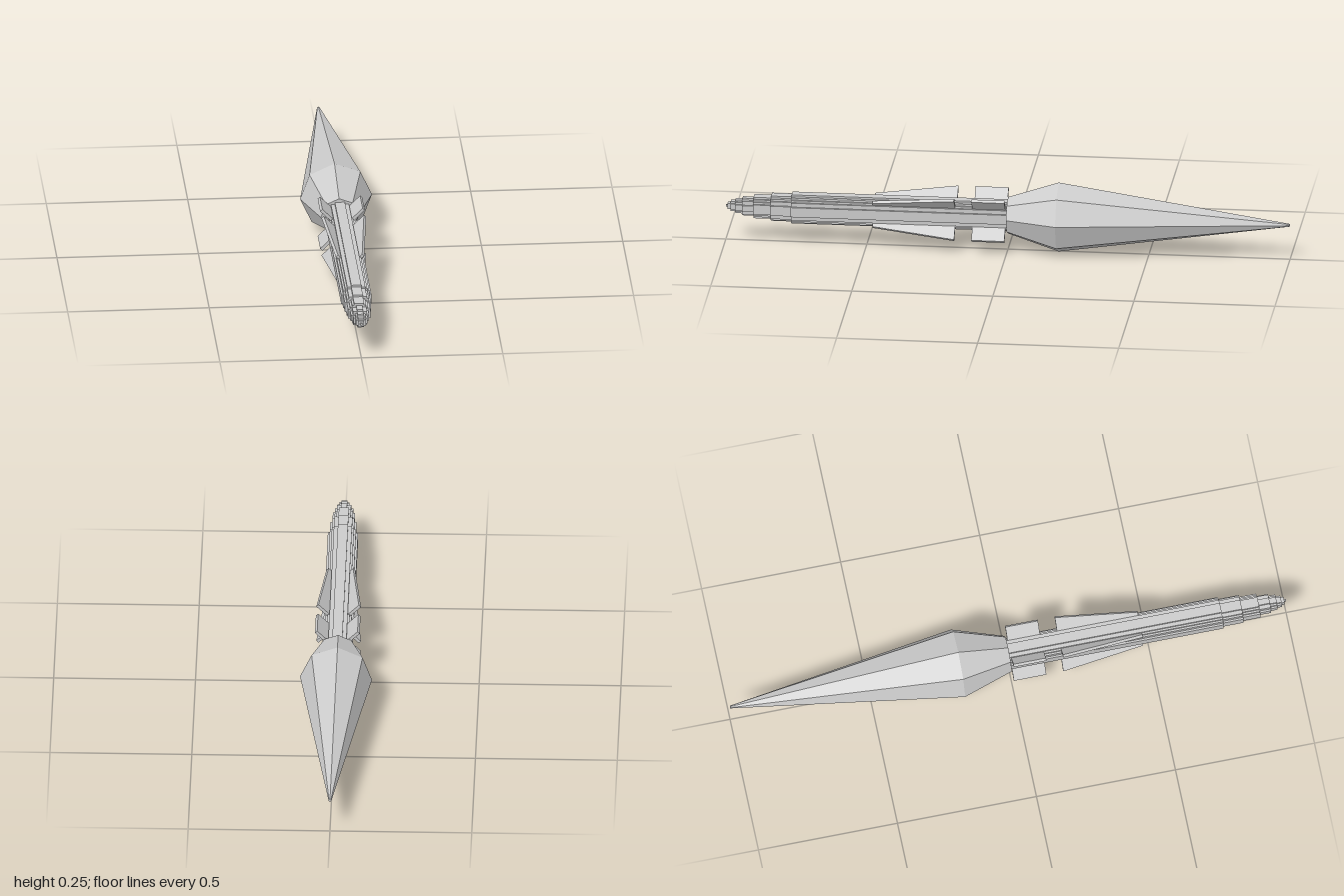
import * as THREE from 'three';

const AXIS_Y = 0.128; // height of the long axis
const CELL = 0.0071;  // step size of the blocky body

const material = new THREE.MeshStandardMaterial({ color: 0xcccccc, flatShading: true });

function addMesh(parent, name, geometry) {
  const mesh = new THREE.Mesh(geometry, material);
  mesh.name = name;
  parent.add(mesh);
  return mesh;
}

// Stair-stepped disc outline, n cells out from the centre cell
function steppedDisc(n) {
  const right = [];
  const r2 = (n + 0.45) ** 2;
  for (let j = -n; j <= n; j++) {
    const w = (Math.floor(Math.sqrt(r2 - j * j)) + 0.5) * CELL;
    const last = right[right.length - 1];
    if (last && last.x === w) last.y = (j + 0.5) * CELL;
    else right.push(new THREE.Vector2(w, (j - 0.5) * CELL), new THREE.Vector2(w, (j + 0.5) * CELL));
  }
  const left = right.map(p => new THREE.Vector2(-p.x, p.y)).reverse();
  return new THREE.Shape([...right, ...left]);
}

// Thin plate from a [z, radius] outline, standing radially on the axis
function finGeometry(outline, thickness) {
  const shape = new THREE.Shape(outline.map(([z, r]) => new THREE.Vector2(z, r)));
  const geometry = new THREE.ExtrudeGeometry(shape, { depth: thickness, bevelEnabled: false });
  geometry.translate(0, 0, -thickness / 2);
  return geometry.rotateY(-Math.PI / 2);
}

export function createModel() {
  const model = new THREE.Group();
  model.name = 'rocket';
  const rocket = new THREE.Group();
  rocket.name = 'rocketAxis';
  rocket.position.y = AXIS_Y;
  model.add(rocket);

  // Body and stepped nose: discs shrinking one cell at a time
  const ends = [0.765, 0.838, 0.9, 0.94, 0.965, 0.982, 0.993, 1];
  let start = 0;
  ends.forEach((end, i) => {
    const section = new THREE.ExtrudeGeometry(steppedDisc(7 - i), { depth: end - start, bevelEnabled: false });
    section.translate(0, 0, start);
    addMesh(rocket, i === 0 ? 'body' : 'noseStep' + i, section);
    start = end;
  });

  // Four tail fins and four tapered wings, set diagonally
  const tailFin = finGeometry([[0.005, 0.02], [0.122, 0.02], [0.122, 0.106], [0.005, 0.106]], 0.011);
  const wing = finGeometry([[0.183, 0.02], [0.475, 0.02], [0.475, 0.066], [0.183, 0.106]], 0.011);
  for (let i = 0; i < 4; i++) {
    const angle = Math.PI / 4 + i * Math.PI / 2;
    addMesh(rocket, 'tailFin' + (i + 1), tailFin).rotation.z = angle;
    addMesh(rocket, 'wing' + (i + 1), wing).rotation.z = angle;
  }

  // Eight-sided exhaust flame trailing behind
  const profile = [[0, 0], [0.067, 0], [0.127, 0.18], [0.005, 1], [0, 1]];
  const flame = new THREE.LatheGeometry(profile.map(([r, d]) => new THREE.Vector2(r, d)), 8);
  flame.rotateX(-Math.PI / 2).rotateZ(0.042);
  addMesh(rocket, 'exhaustFlame', flame);

  return model;
}
